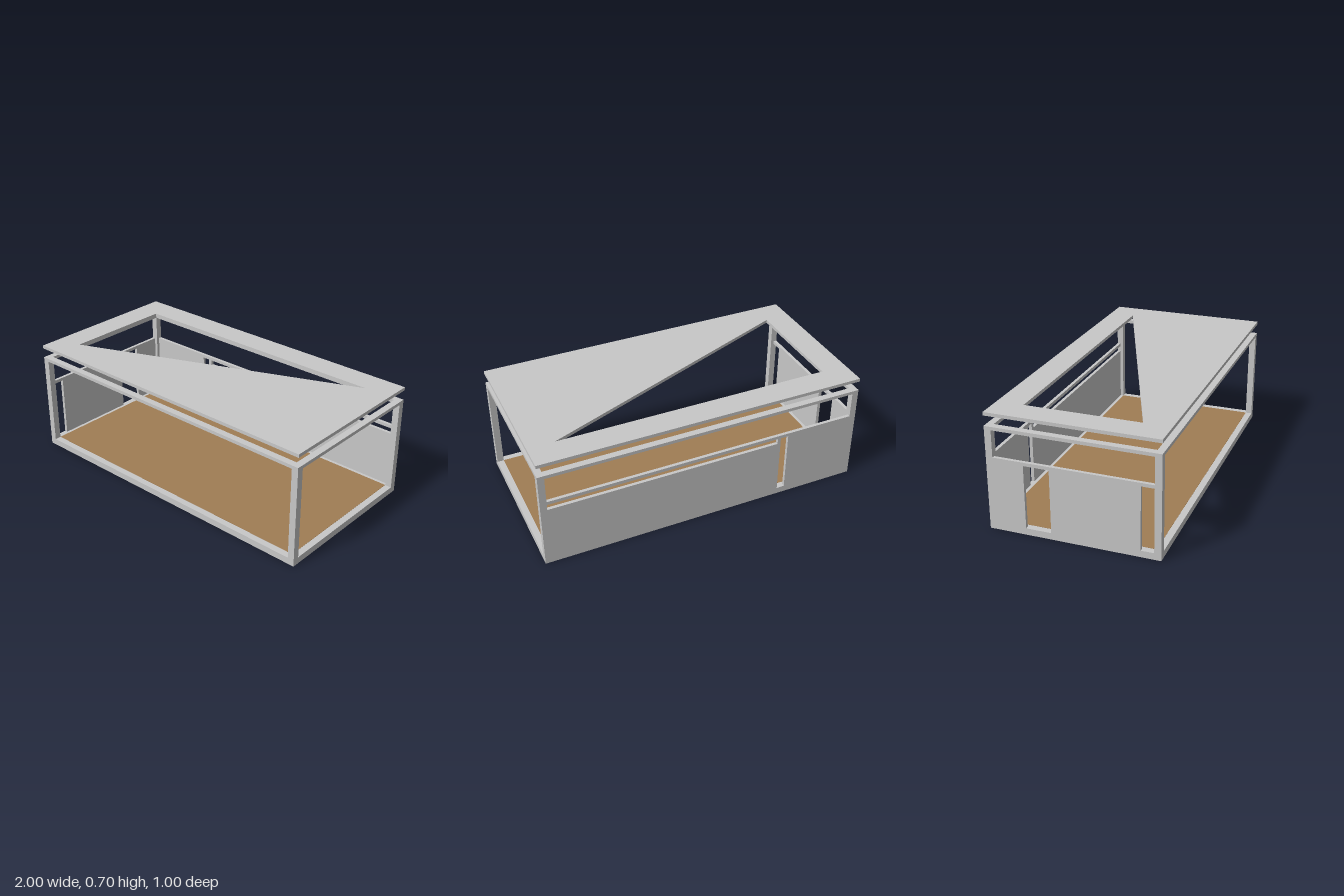
import * as THREE from 'three';

export function createModel() {
  const model = new THREE.Group();
  model.name = 'pavilion';
  const concrete = new THREE.MeshStandardMaterial({ name: 'concrete grey', color: 0xc8c8c8 });
  const timber = new THREE.MeshStandardMaterial({ name: 'timber brown', color: 0xa07d54 });

  // Box given by its limits along each axis
  function box(name, [x0, x1], [y0, y1], [z0, z1], material = concrete) {
    const mesh = new THREE.Mesh(new THREE.BoxGeometry(x1 - x0, y1 - y0, z1 - z0), material);
    mesh.position.set((x0 + x1) / 2, (y0 + y1) / 2, (z0 + z1) / 2);
    mesh.name = name;
    model.add(mesh);
  }

  const X = 1, Z = 0.5;            // outer half sizes
  const P = 0.04, T = 0.02;        // post width, wall thickness
  const xi = X - P, zi = Z - P;    // inner half sizes
  const floorY = 0.04, doorTop = 0.42, wallTop = 0.44, beamY = 0.6, frameTop = 0.62;

  // Base slab with an inset timber floor
  box('baseSlab', [-X, X], [0, floorY], [-Z, Z]);
  box('timberFloor', [-xi, xi], [floorY - 0.004, floorY + 0.001], [-zi, zi], timber);

  // Corner posts
  for (const sx of [-1, 1]) for (const sz of [-1, 1]) {
    const cx = sx * (X - P / 2), cz = sz * (Z - P / 2);
    box('cornerPost', [cx - P / 2, cx + P / 2], [floorY, beamY], [cz - P / 2, cz + P / 2]);
  }

  // Ring of top beams
  for (const s of [-1, 1]) {
    const cz = s * (Z - P / 2), cx = s * (X - P / 2);
    box('longTopBeam', [-X, X], [beamY, frameTop], [cz - P / 2, cz + P / 2]);
    box('shortTopBeam', [cx - P / 2, cx + P / 2], [beamY, frameTop], [-zi, zi]);
  }

  // Back wall: narrow doorway slot and a long strip window under the lintel
  const back = [-Z, -Z + T];
  box('backWallEnd', [-xi, -0.535], [floorY, doorTop], back);
  box('backWallJamb', [-0.485, -0.465], [floorY, doorTop], back);
  box('backWallPanel', [-0.465, xi], [floorY, 0.385], back);
  box('backWallLintel', [-xi, xi], [doorTop, wallTop], back);

  // Right-hand wall: door towards the back, tall opening beside the front post
  const side = [-X, -X + T];
  box('sideWallEnd', side, [floorY, doorTop], [-zi, -0.28]);
  box('sideWallPanel', side, [floorY, doorTop], [-0.13, 0.385]);
  box('sideWallLintel', side, [doorTop, wallTop], [-zi, zi]);

  // Floating roof plate with a triangular skylight
  const plate = new THREE.Shape([
    new THREE.Vector2(-X, -Z), new THREE.Vector2(X, -Z),
    new THREE.Vector2(X, Z), new THREE.Vector2(-X, Z),
  ]);
  plate.holes.push(new THREE.Path([
    new THREE.Vector2(-0.84, 0.34), new THREE.Vector2(0.84, 0.34), new THREE.Vector2(-0.84, -0.34),
  ]));
  const roofGeometry = new THREE.ExtrudeGeometry(plate, { depth: 0.02, bevelEnabled: false });
  roofGeometry.rotateX(-Math.PI / 2);
  const roof = new THREE.Mesh(roofGeometry, concrete);
  roof.position.y = 0.68;
  roof.name = 'roofPlate';
  model.add(roof);

  return model;
}
